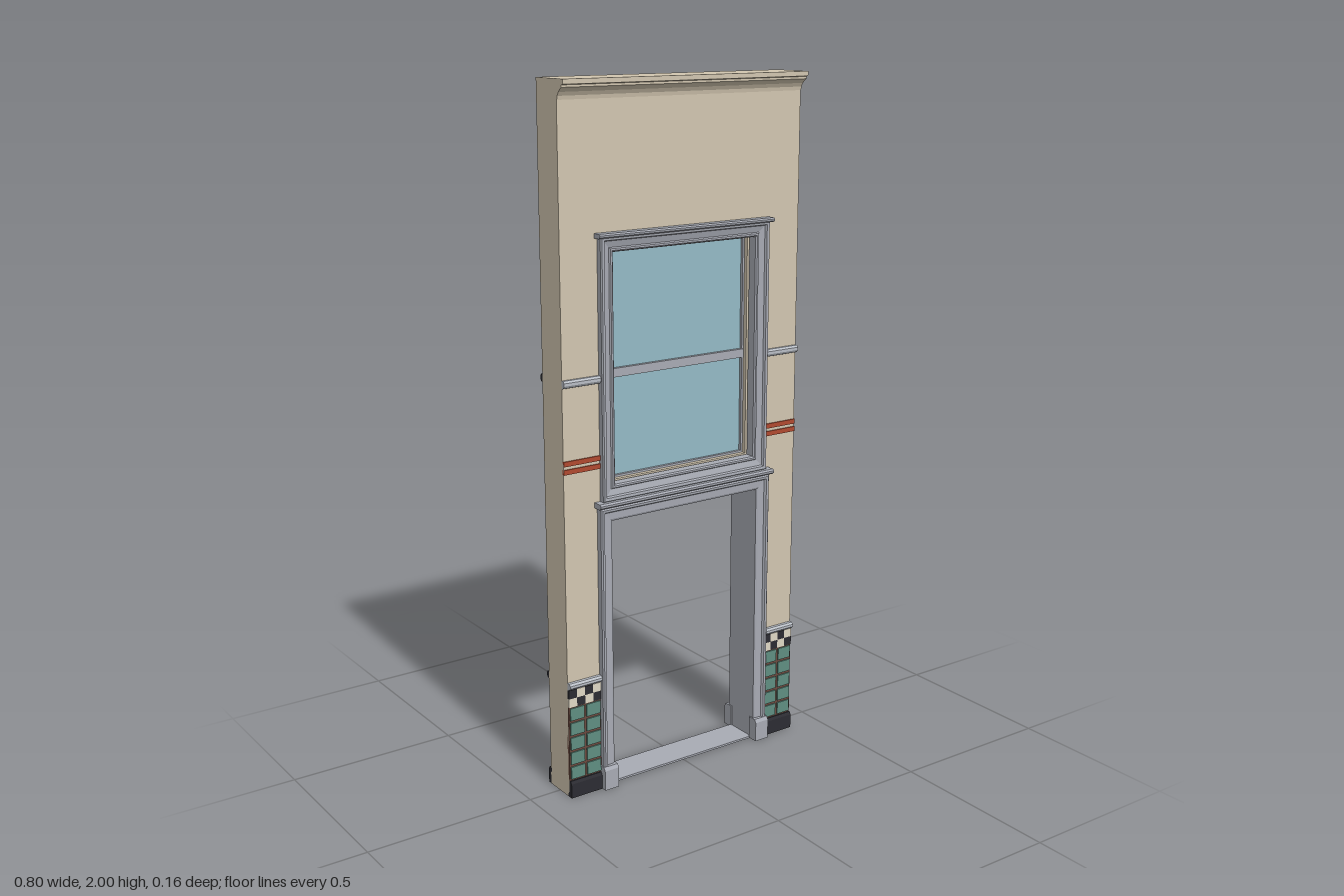
import * as THREE from 'three';

const mat = (color, extra = {}) => new THREE.MeshStandardMaterial({ color, ...extra });
const M = {
  wall: mat(0xd2c6b0), trim: mat(0xa8abb4), rail: mat(0xb9bec6), dark: mat(0x2c2c32),
  red: mat(0xb0492f), green: mat(0x5f8f82), grout: mat(0x6b4a40), light: mat(0xe0d8c6),
  glass: mat(0x94bac6),
};
const FACE = 0.05; // half thickness of the wall

function add(parent, name, geometry, material) {
  const mesh = new THREE.Mesh(geometry, material);
  mesh.name = name;
  parent.add(mesh);
  return mesh;
}

// Box given by its limits
function box(parent, name, material, x0, x1, y0, y1, z0, z1) {
  const g = new THREE.BoxGeometry(x1 - x0, y1 - y0, z1 - z0);
  g.translate((x0 + x1) / 2, (y0 + y1) / 2, (z0 + z1) / 2);
  return add(parent, name, g, material);
}

// Straight moulding: a [z, y] section run along x
function moulding(parent, name, material, x0, x1, section) {
  const shape = new THREE.Shape(section.map(([z, y]) => new THREE.Vector2(z, y)));
  const g = new THREE.ExtrudeGeometry(shape, { depth: x1 - x0, bevelEnabled: false });
  g.rotateY(-Math.PI / 2);
  g.translate(x1, 0, 0);
  return add(parent, name, g, material);
}

// Mitred casing: each [offset, z] section point becomes one outline of corners
function casing(parent, name, section, corners, closed) {
  const pos = [];
  const rings = section.map(([d, z]) => corners(d).map(([x, y]) => [x, y, z]));
  const n = rings[0].length;
  for (let i = 0; i < rings.length - 1; i++) {
    for (let j = 0; j < (closed ? n : n - 1); j++) {
      const k = (j + 1) % n;
      const a = rings[i][j], b = rings[i + 1][j], c = rings[i + 1][k], d = rings[i][k];
      pos.push(...a, ...b, ...c, ...a, ...c, ...d);
    }
  }
  const g = new THREE.BufferGeometry();
  g.setAttribute('position', new THREE.Float32BufferAttribute(pos, 3));
  g.computeVertexNormals();
  return add(parent, name, g, M.trim);
}

// Flat rectangular ring, centred on z = 0
function ring(parent, name, material, w, b, t, border, depth) {
  const rect = (C, e) => new C([[-w + e, b + e], [w - e, b + e], [w - e, t - e], [-w + e, t - e]]
    .map(p => new THREE.Vector2(...p)));
  const shape = rect(THREE.Shape, 0);
  shape.holes.push(rect(THREE.Path, border));
  const g = new THREE.ExtrudeGeometry(shape, { depth, bevelEnabled: false });
  g.translate(0, 0, -depth / 2);
  return add(parent, name, g, material);
}

// Rounded section for a thin rail standing out from the wall face
const railSection = (y0, y1, out) => [
  [FACE, y0], [FACE + out * 0.6, y0 + (y1 - y0) * 0.1], [FACE + out, y0 + (y1 - y0) * 0.4],
  [FACE + out, y0 + (y1 - y0) * 0.75], [FACE + out * 0.6, y1], [FACE, y1],
];

// Window and door surrounds, the same on both faces
function surrounds() {
  const g = new THREE.Group();
  const winRect = d => [[-0.24 - d, 0.905 - d], [0.24 + d, 0.905 - d], [0.24 + d, 1.548 + d], [-0.24 - d, 1.548 + d]];
  casing(g, 'windowCasing', [[0, 0.03], [0, 0.058], [0.004, 0.062], [0.009, 0.062], [0.012, 0.057],
    [0.03, 0.062], [0.033, 0.069], [0.041, 0.07], [0.044, 0.066], [0.044, FACE]], winRect, true);
  const capSection = (y0, y1, out) => [[FACE, y0], [out - 0.008, y0], [out - 0.001, y0 + (y1 - y0) * 0.3],
    [out, y0 + (y1 - y0) * 0.7], [out - 0.005, y1], [FACE, y1]];
  moulding(g, 'windowCap', M.trim, -0.293, 0.293, capSection(1.587, 1.6, 0.079));

  const doorPath = d => [[0.253 + d, 0], [0.253 + d, 0.802 + d], [-0.253 - d, 0.802 + d], [-0.253 - d, 0]];
  casing(g, 'doorCasing', [[0, FACE], [0, 0.06], [0.006, 0.063], [0.026, 0.064], [0.03, 0.071],
    [0.037, 0.072], [0.041, 0.068], [0.041, FACE]], doorPath, false);
  moulding(g, 'doorCap', M.trim, -0.302, 0.302, capSection(0.845, 0.861, 0.082));
  for (const s of [-1, 1]) {
    const [x0, x1] = s < 0 ? [-0.297, -0.25] : [0.25, 0.297];
    moulding(g, 'plinthBlock', M.trim, x0, x1,
      [[0.045, 0], [0.079, 0], [0.079, 0.06], [0.073, 0.07], [0.045, 0.07]]);
  }
  return g;
}

// Tiled dado on the front, one side of the door
function dado(x0, x1) {
  const g = new THREE.Group();
  g.name = 'tiledDado';
  const w = x1 - x0;
  box(g, 'groutBacking', M.grout, x0, x1, 0.05, 0.277, FACE - 0.005, 0.054);
  for (let r = 0; r < 5; r++) for (let c = 0; c < 2; c++) {
    const x = x0 + c * w / 2, y = 0.052 + r * 0.045;
    box(g, 'greenTile', M.green, x + 0.004, x + w / 2 - 0.004, y + 0.004, y + 0.041, FACE, 0.058);
  }
  for (let r = 0; r < 2; r++) for (let c = 0; c < 4; c++) {
    const x = x0 + c * w / 4, y = 0.277 + r * 0.026;
    box(g, 'checkerTile', (r + c) % 2 ? M.dark : M.light, x, x + w / 4, y, y + 0.026, FACE - 0.005, 0.057);
  }
  moulding(g, 'dadoRail', M.rail, x0, x1, railSection(0.329, 0.35, 0.016));
  moulding(g, 'skirting', M.dark, x0, x1, [[0.045, 0], [0.063, 0], [0.063, 0.043], [0.058, 0.051], [0.045, 0.051]]);
  return g;
}

export function createModel() {
  const model = new THREE.Group();
  model.name = 'wallWithDoorAndWindow';

  // Wall slab with door notch and window hole
  const outline = [[-0.4, 0], [-0.257, 0], [-0.257, 0.806], [0.257, 0.806], [0.257, 0], [0.4, 0], [0.4, 2], [-0.4, 2]];
  const shape = new THREE.Shape(outline.map(p => new THREE.Vector2(...p)));
  shape.holes.push(new THREE.Path([[-0.245, 0.9], [0.245, 0.9], [0.245, 1.553], [-0.245, 1.553]]
    .map(p => new THREE.Vector2(...p))));
  const slab = new THREE.ExtrudeGeometry(shape, { depth: FACE * 2, bevelEnabled: false });
  slab.translate(0, 0, -FACE);
  add(model, 'wall', slab, M.wall);

  // Cornice along the top of the front
  moulding(model, 'cornice', M.wall, -0.4, 0.4, [[0.045, 1.947], [0.052, 1.947], [0.054, 1.957], [0.06, 1.967],
    [0.068, 1.975], [0.075, 1.979], [0.075, 1.985], [0.082, 1.987], [0.082, 2], [0.045, 2]]);

  // Window: stop, sash, glazing and meeting rail
  ring(model, 'windowStop', M.wall, 0.245, 0.9, 1.553, 0.008, 0.05);
  ring(model, 'windowSash', M.trim, 0.24, 0.905, 1.548, 0.009, 0.024);
  box(model, 'glass', M.glass, -0.235, 0.235, 0.91, 1.543, -0.003, 0.003);
  box(model, 'meetingRail', M.trim, -0.235, 0.235, 1.194, 1.219, -0.014, 0.014);

  // Door lining and threshold
  for (const s of [-1, 1]) {
    const x = s * 0.255;
    box(model, 'doorJamb', M.trim, x - 0.002, x + 0.002, 0, 0.806, -FACE, FACE);
  }
  box(model, 'doorHead', M.trim, -0.255, 0.255, 0.802, 0.806, -FACE, FACE);
  box(model, 'threshold', M.trim, -0.253, 0.253, 0, 0.006, -FACE, FACE);

  // Surrounds on both faces
  const front = surrounds();
  front.name = 'frontSurrounds';
  const back = surrounds();
  back.name = 'backSurrounds';
  back.rotation.y = Math.PI;
  model.add(front, back);

  // Bands on the wall either side of the openings
  const backBands = new THREE.Group();
  backBands.name = 'backBands';
  backBands.rotation.y = Math.PI;
  model.add(backBands);
  for (const [x0, x1] of [[-0.4, -0.284], [0.284, 0.4]]) {
    moulding(model, 'pictureRail', M.rail, x0, x1, railSection(1.194, 1.217, 0.012));
    for (const y of [0.956, 0.979])
      box(model, 'redStripe', M.red, x0, x1, y, y + 0.014, FACE - 0.005, 0.054);
    model.add(x0 < 0 ? dado(-0.4, -0.293) : dado(0.293, 0.4));
    moulding(backBands, 'backPictureRail', M.dark, x0, x1, railSection(1.194, 1.217, 0.011));
    moulding(backBands, 'backDadoRail', M.dark, x0, x1, railSection(0.329, 0.35, 0.011));
    moulding(backBands, 'backSkirting', M.dark, x0, x1,
      [[0.045, 0], [0.062, 0], [0.062, 0.043], [0.057, 0.051], [0.045, 0.051]]);
  }
  return model;
}
